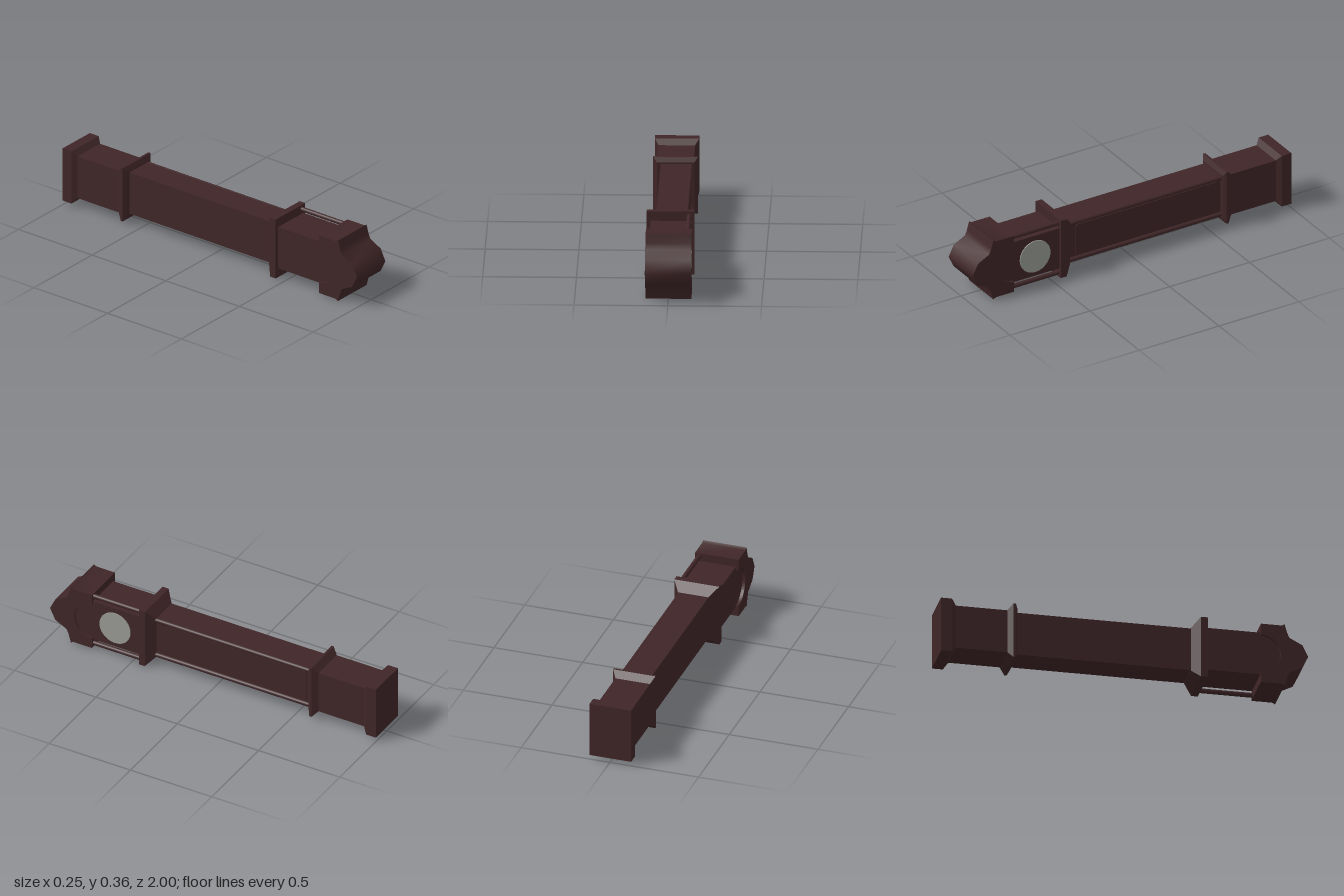
import * as THREE from 'three';
import { toCreasedNormals } from 'three/addons/utils/BufferGeometryUtils.js';

const wood = new THREE.MeshStandardMaterial({ color: 0x402628 });
wood.name = 'dark wood';
const dialGrey = new THREE.MeshStandardMaterial({ color: 0x9a9c95 });
dialGrey.name = 'dial grey';

// Joins rectangular sections [z, x0, x1, y0, y1], listed by rising z, into a closed flat-sided solid
function loft(sections) {
  const rings = sections.map(([z, x0, x1, y0, y1]) => [[x0, y0, z], [x1, y0, z], [x1, y1, z], [x0, y1, z]]);
  const pos = [];
  const quad = (a, b, c, d) => pos.push(...a, ...b, ...c, ...a, ...c, ...d);
  for (let i = 0; i < rings.length - 1; i++) {
    for (let j = 0; j < 4; j++) {
      const k = (j + 1) % 4;
      quad(rings[i][j], rings[i][k], rings[i + 1][k], rings[i + 1][j]);
    }
  }
  const [a, b, c, d] = rings[0];
  quad(d, c, b, a);
  quad(...rings[rings.length - 1]);
  const g = new THREE.BufferGeometry();
  g.setAttribute('position', new THREE.Float32BufferAttribute(pos, 3));
  g.computeVertexNormals();
  return g;
}

export function createModel() {
  const group = new THREE.Group();
  const add = (name, geometry, material = wood) => {
    const mesh = new THREE.Mesh(geometry, material);
    mesh.name = name;
    group.add(mesh);
    return mesh;
  };
  // Round rod running along z
  const rod = (name, r, x, y, z0, z1) => {
    const g = new THREE.CylinderGeometry(r, r, z1 - z0, 16).rotateX(Math.PI / 2);
    add(name, g).position.set(x, y, (z0 + z1) / 2);
  };

  // Case of the clock, lying on its side with the foot at -z and the dial facing +x
  add('plinthFoot', loft([
    [-1, -0.12, 0.115, 0.03, 0.34],
    [-0.94, -0.12, 0.115, 0.03, 0.34],
    [-0.915, -0.1, 0.095, 0.063, 0.31],
  ]));
  add('plinth', loft([
    [-0.95, -0.1, 0.095, 0.063, 0.31],
    [-0.62, -0.1, 0.095, 0.063, 0.31],
  ]));
  add('lowerMoulding', loft([
    [-0.635, -0.1, 0.095, 0.063, 0.31],
    [-0.605, -0.12, 0.118, 0.03, 0.345],
    [-0.592, -0.12, 0.118, 0.03, 0.345],
    [-0.578, -0.1, 0.1, 0.055, 0.318],
  ]));
  add('trunk', loft([
    [-0.6, -0.08, 0.078, 0.065, 0.31],
    [0.4, -0.08, 0.078, 0.065, 0.31],
  ]));
  add('trunkDoor', loft([
    [-0.555, 0.07, 0.084, 0.094, 0.281],
    [0.33, 0.07, 0.084, 0.094, 0.281],
  ]));
  add('upperMoulding', loft([
    [0.37, -0.08, 0.09, 0.062, 0.313],
    [0.415, -0.127, 0.127, 0.012, 0.362],
    [0.452, -0.127, 0.127, 0.012, 0.362],
  ]));
  add('hoodBody', loft([
    [0.44, -0.106, 0.112, 0.065, 0.31],
    [0.86, -0.106, 0.112, 0.065, 0.31],
  ]));

  // Mirrored columns beside the trunk door and the dial
  for (const side of [-1, 1]) {
    rod('trunkColumn', 0.013, 0.081, 0.187 + side * 0.111, -0.59, 0.39);
    rod('hoodColumn', 0.013, 0.1, 0.186 + side * 0.151, 0.44, 0.76);
  }

  // Crest with a scrolled top and an arched opening around the hood body
  const mid = 0.1845;
  const edge = [[0.743, 0.171], [0.856, 0.171], [0.872, 0.1795], [0.885, 0.132], [0.898, 0.102], [0.968, 0.066]];
  const lower = edge.map(([z, h]) => new THREE.Vector2(z, mid - h));
  const upper = edge.map(([z, h]) => new THREE.Vector2(z, mid + h)).reverse();
  const crest = new THREE.Shape([...lower, new THREE.Vector2(1, mid), ...upper]);
  crest.lineTo(0.743, mid + 0.108);
  crest.absarc(0.743, mid, 0.108, Math.PI / 2, -Math.PI / 2, true);
  const crestGeo = new THREE.ExtrudeGeometry(crest, { depth: 0.246, bevelEnabled: false, curveSegments: 24 });
  crestGeo.rotateY(-Math.PI / 2).translate(0.123, 0, 0);
  add('crest', toCreasedNormals(crestGeo, 1.0));

  // Dial as a thin disc
  const dial = new THREE.CylinderGeometry(0.095, 0.095, 0.006, 40).rotateZ(-Math.PI / 2);
  add('dial', dial, dialGrey).position.set(0.114, 0.185, 0.605);

  return group;
}
